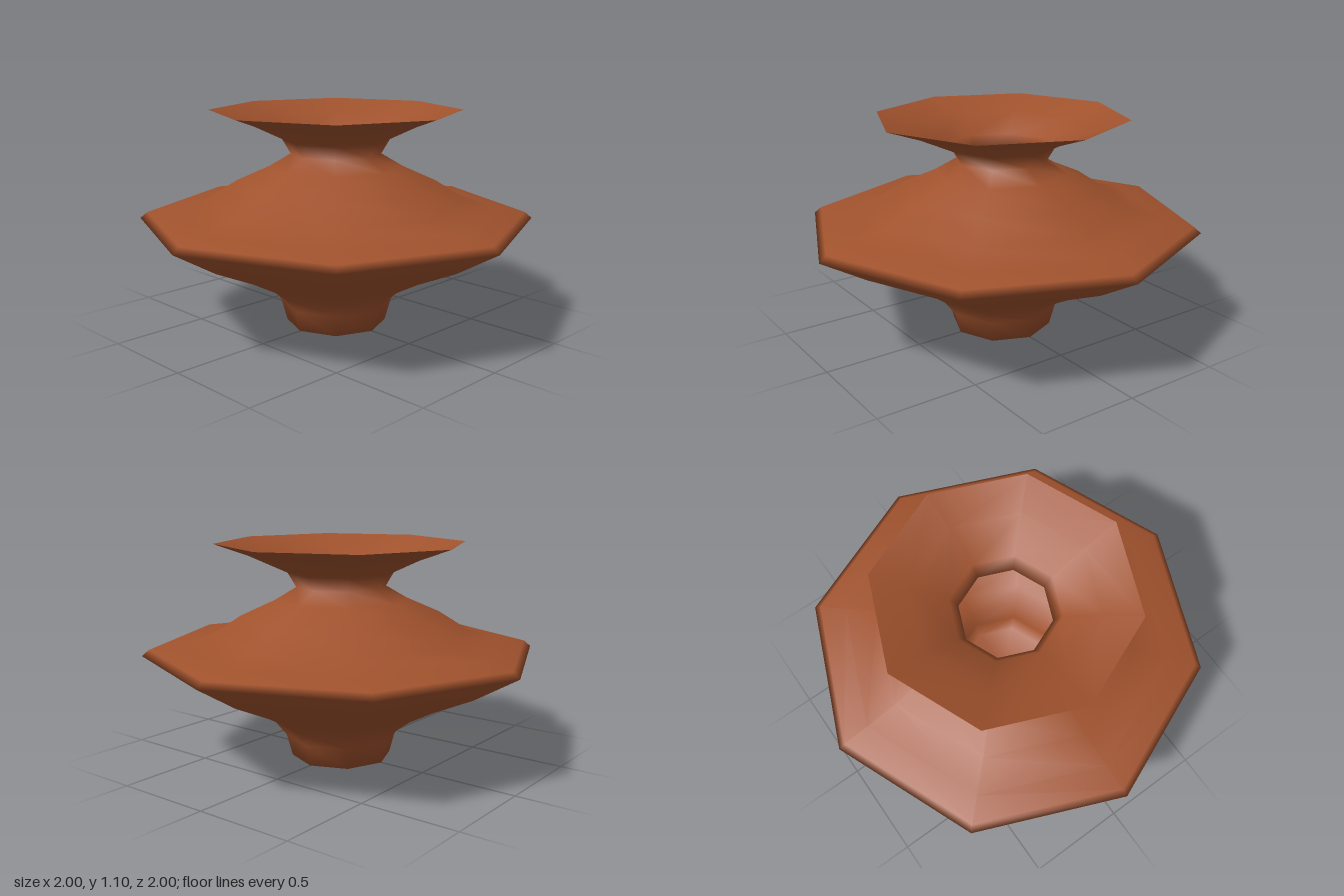
import * as THREE from 'three';

export function createModel() {
  const group = new THREE.Group();
  group.name = 'vase';

  const clay = new THREE.MeshStandardMaterial({ color: 0xa0522d, side: THREE.DoubleSide });
  clay.name = 'terracotta';

  // Profile as [radius, height], from the base centre up to the open mouth
  const profile = [
    [0, 0], [0.255, 0], // base
    [0.285, 0.11], [0.345, 0.185], [0.42, 0.24], [0.55, 0.31], [0.77, 0.41], // lower bowl
    [1, 0.545], [0.965, 0.575], // wide rim
    [0.83, 0.597], [0.655, 0.645], [0.505, 0.74], [0.335, 0.815], // shoulder
    [0.228, 0.878], // neck
    [0.27, 0.95], [0.46, 1.035], [0.635, 1.097], // flared mouth
  ].map(([r, y]) => new THREE.Vector2(r, y));

  // Eight-sided thin shell with smooth normals, hollow inside
  const body = new THREE.Mesh(new THREE.LatheGeometry(profile, 8), clay);
  body.name = 'vaseBody';
  group.add(body);

  return group;
}
